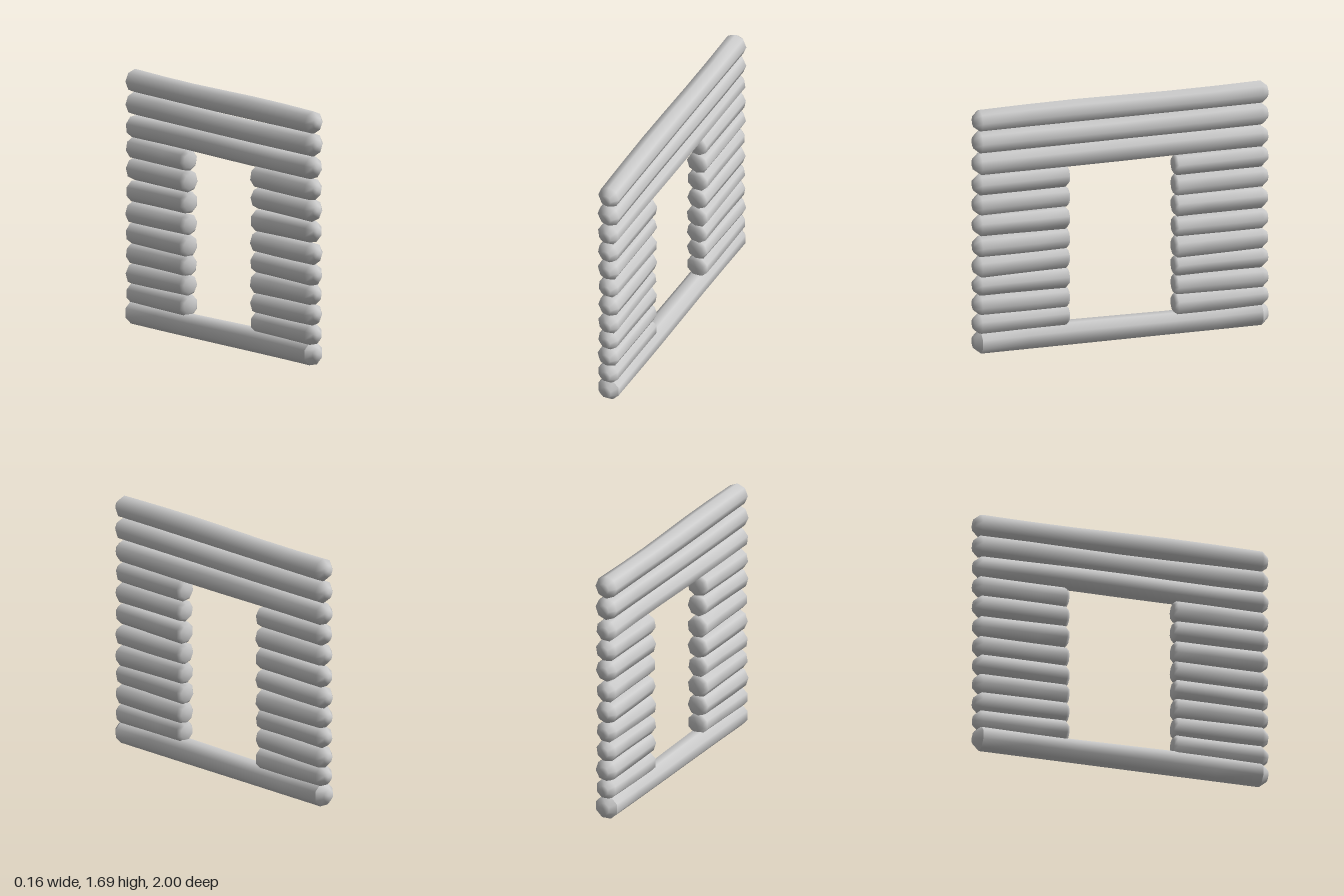
import * as THREE from 'three';
import { mergeVertices, mergeGeometries } from 'three/addons/utils/BufferGeometryUtils.js';

const SIDES = 8;
const material = new THREE.MeshStandardMaterial({ color: 0xcccccc });

// Turns a profile of [radius, z] pairs into a smooth eight-sided solid along z
function turn(profile, phase, seed, y) {
  const geo = new THREE.LatheGeometry(profile.map(([r, z]) => new THREE.Vector2(r, z)), SIDES, phase);
  geo.rotateX(Math.PI / 2);
  // slight hand-hewn bend and swelling
  const p = geo.attributes.position;
  for (let i = 0; i < p.count; i++) {
    const z = p.getZ(i);
    const swell = 1 + 0.025 * Math.sin(z * 4 + seed * 2.3);
    p.setXY(i, p.getX(i) * swell + 0.002 * Math.sin(z * 3 + seed),
      p.getY(i) * swell + 0.003 * Math.sin(z * 3.5 + seed * 1.7) + y);
  }
  geo.deleteAttribute('uv');
  geo.deleteAttribute('normal');
  const merged = mergeVertices(geo, 1e-5);
  merged.computeVertexNormals();
  return merged;
}

// Bevel [length, drop] at an end of a log
const OUTER = [0.045, 0.038];
const INNER = [0.022, 0.022];

function logGeometry(z0, z1, bevel0, bevel1, y, r, phase, seed, creased = false) {
  const a = z0 + bevel0[0], b = z1 - bevel1[0];
  const rings = z1 - z0 > 1 ? 6 : 3;
  const start = [[0, z0], [r - bevel0[1], z0], [r, a]];
  const end = [[r, b], [r - bevel1[1], z1], [0, z1]];
  const barrel = [];
  for (let i = 1; i < rings; i++) barrel.push([r, a + (b - a) * i / rings]);
  if (!creased) return turn([...start, ...barrel, ...end], phase, seed, y);
  // separate end caps keep a sharp edge where they meet the barrel
  const parts = [start, [[r, a], ...barrel, [r, b]], end];
  return mergeGeometries(parts.map((part) => turn(part, phase, seed, y)));
}

export function createModel() {
  const group = new THREE.Group();
  const add = (name, geo) => {
    const mesh = new THREE.Mesh(geo, material);
    mesh.name = name;
    group.add(mesh);
  };
  const phaseOf = (i) => Math.PI / 8 + i * 0.31;

  // Full-width log under the doorway
  add('sillLog', logGeometry(-1, 1, OUTER, OUTER, 0.079, 0.08, Math.PI / 8, 0, true));

  // Short logs on both sides of the doorway
  const sideHeights = [0.207, 0.337, 0.468, 0.602, 0.742, 0.884, 1.028, 1.17];
  sideHeights.forEach((y, i) => {
    add('frontSideLog' + (i + 1), logGeometry(0.355, 1, INNER, OUTER, y, 0.075, phaseOf(i), i + 1));
    add('backSideLog' + (i + 1), logGeometry(-1, -0.36, OUTER, INNER, y, 0.075, phaseOf(i), i + 4));
  });

  // Full-width logs above the doorway
  [1.312, 1.46, 1.611].forEach((y, i) => {
    add('lintelLog' + (i + 1), logGeometry(-1, 1, OUTER, OUTER, y, 0.077, i === 2 ? 0 : phaseOf(i + 8), i + 9));
  });

  return group;
}
